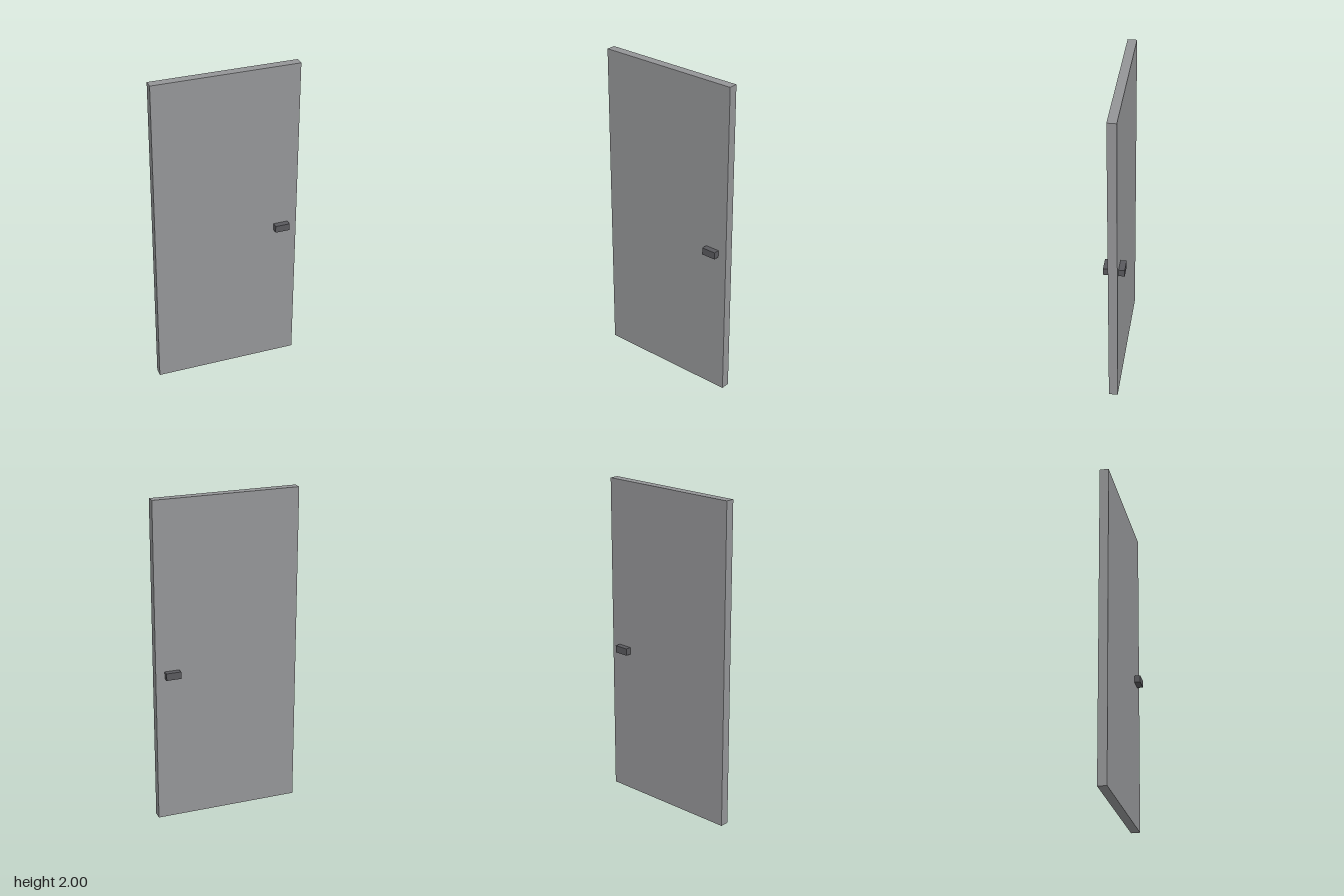
import * as THREE from 'three';

export function createModel() {
  const model = new THREE.Group();
  model.name = 'door';

  const panelMaterial = new THREE.MeshStandardMaterial({ color: 0x949597 });
  const handleMaterial = new THREE.MeshStandardMaterial({ color: 0x59595d });

  const addBox = (name, size, position, material) => {
    const mesh = new THREE.Mesh(new THREE.BoxGeometry(...size), material);
    mesh.name = name;
    mesh.position.set(...position);
    model.add(mesh);
  };

  // Door leaf
  const thickness = 0.055;
  addBox('doorPanel', [0.898, 2, thickness], [0, 1, 0], panelMaterial);

  // One block handle on each face
  const depth = 0.036;
  for (const [name, side] of [['frontHandle', 1], ['backHandle', -1]]) {
    const z = side * (thickness + depth) / 2;
    addBox(name, [0.091, 0.044, depth], [0.348, 0.94, z], handleMaterial);
  }

  return model;
}
